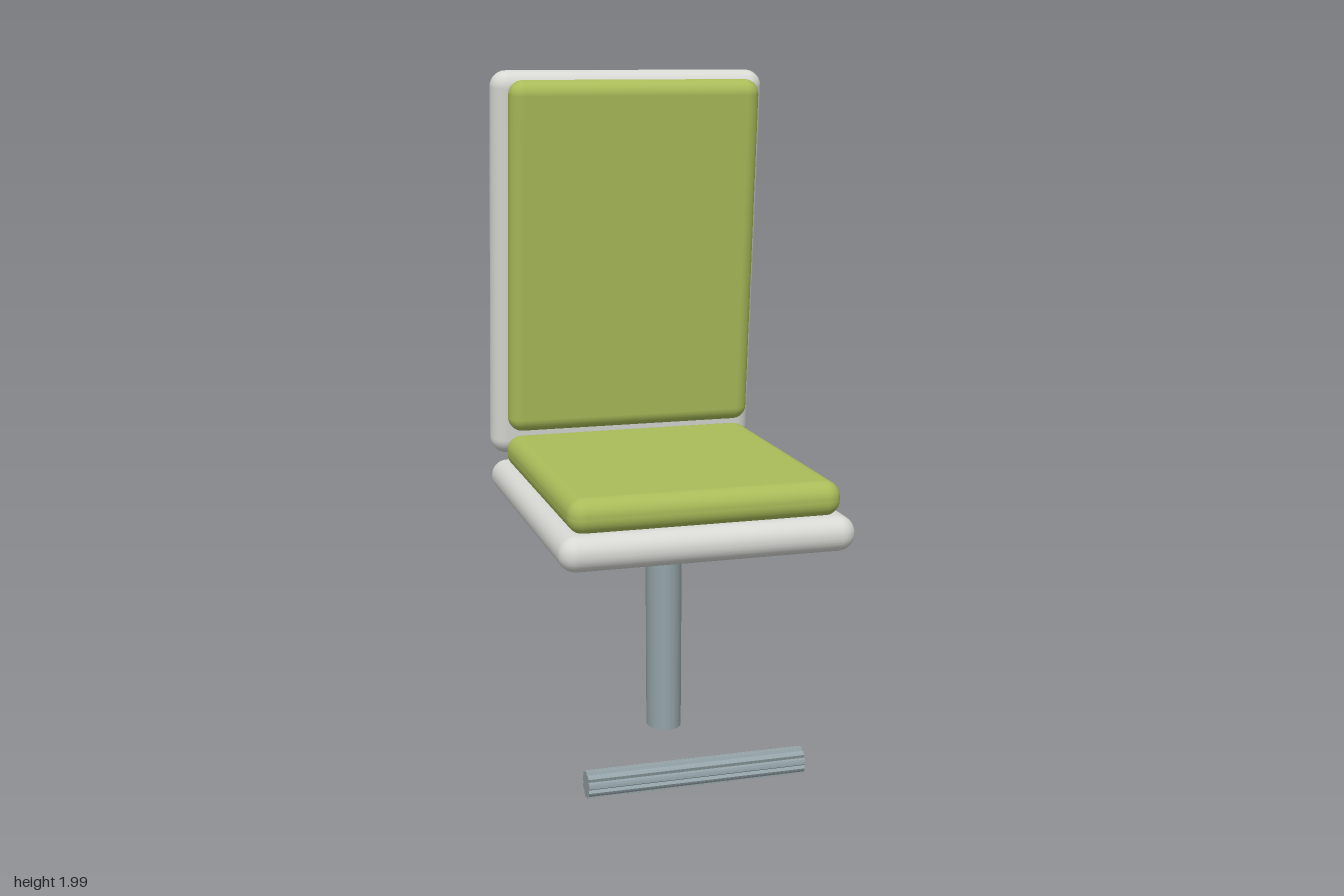
import * as THREE from 'three';
import { RoundedBoxGeometry } from 'three/addons/geometries/RoundedBoxGeometry.js';

const material = (name, color) => {
  const m = new THREE.MeshStandardMaterial({ color });
  m.name = name;
  return m;
};

export function createModel() {
  const group = new THREE.Group();
  group.name = 'pedestalSeat';
  const shell = material('lightGreyShell', 0xd8d9d4);
  const fabric = material('limeFabric', 0xa9bc59);
  const steel = material('blueGreySteel', 0x94a3a8);

  const add = (name, geometry, mat, x, y, z) => {
    const mesh = new THREE.Mesh(geometry, mat);
    mesh.name = name;
    mesh.position.set(x, y, z);
    group.add(mesh);
    return mesh;
  };
  const pad = (w, h, d, r) => new RoundedBoxGeometry(w, h, d, 4, r);

  // Seat: round-edged tray with a cushion on top
  add('seatShell', pad(0.84, 0.1, 1.01, 0.049), shell, 0, 0.748, 0.01);
  add('seatCushion', pad(0.775, 0.1, 0.88, 0.046), fabric, 0, 0.842, 0.04);

  // Backrest: the same pair, leaning backwards from a rear-set lower edge
  const lean = 0.094;
  const backShell = add('backShell', pad(0.84, 1.18, 0.1, 0.049), shell, 0, 1.408, -0.412);
  const backCushion = add('backCushion', pad(0.765, 1.065, 0.088, 0.043), fabric, 0, 1.438, -0.316);
  // Lower edge sits further back than the upper edge
  backShell.rotation.x = lean;
  backCushion.rotation.x = lean;

  // Oval support post, slightly narrower at its foot
  const post = add('post', new THREE.CylinderGeometry(1, 0.96, 0.65, 20), steel, 0, 0.39, 0.028);
  post.scale.set(0.053, 1, 0.064);

  // Fluted foot rail lying across the front
  const flutes = 9;
  const points = [];
  for (let i = 0; i < flutes * 4; i++) {
    const a = (i / (flutes * 4)) * Math.PI * 2;
    const r = i % 4 === 3 ? 0.031 : 0.039;
    points.push(new THREE.Vector2(Math.cos(a) * r, Math.sin(a) * r));
  }
  const railGeometry = new THREE.ExtrudeGeometry(new THREE.Shape(points), { depth: 0.64, bevelEnabled: false });
  railGeometry.translate(0, 0, -0.32);
  railGeometry.rotateY(Math.PI / 2);
  add('footRail', railGeometry, steel, 0, 0.04, 0.35);

  return group;
}
